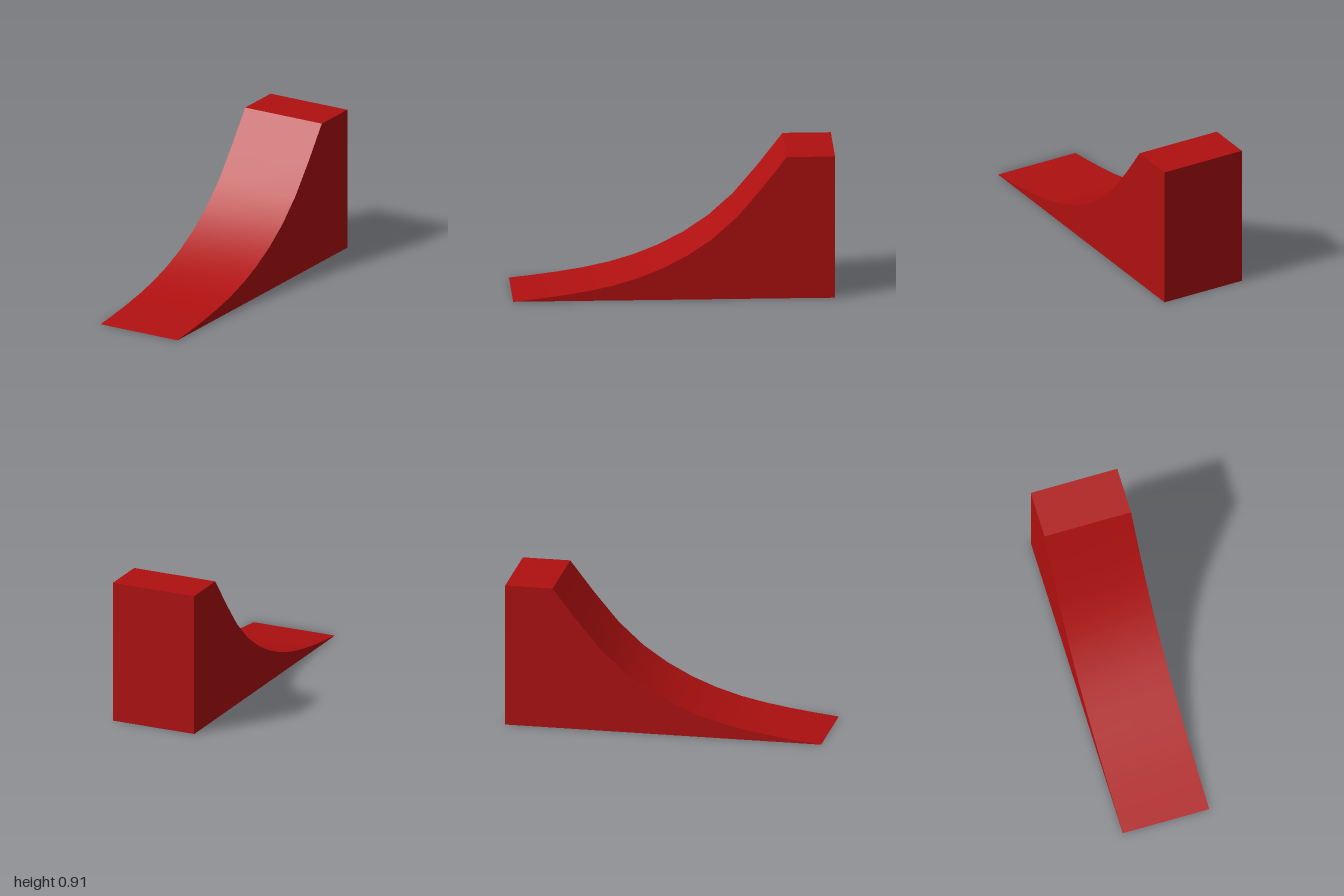
import * as THREE from 'three';
import { toCreasedNormals } from 'three/addons/utils/BufferGeometryUtils.js';

const WIDTH = 0.56;
const TOP_Z = -0.7; // front edge of the platform

// Heights of the curved slope at even steps from the toe to the platform
const HEIGHTS = [0, 0.017, 0.037, 0.062, 0.095, 0.141, 0.202, 0.283, 0.387, 0.527, 0.71, 0.91];

export function createModel() {
  const group = new THREE.Group();
  group.name = 'ramp';

  // Side profile: shape x becomes z after turning
  const profile = new THREE.Shape();
  profile.moveTo(-1, 0);
  HEIGHTS.forEach((y, i) => {
    profile.lineTo(THREE.MathUtils.lerp(1, TOP_Z, i / (HEIGHTS.length - 1)), y);
  });
  profile.lineTo(-1, HEIGHTS[HEIGHTS.length - 1]);
  profile.closePath();

  // Solid wedge: smooth along the slope, sharp at the other edges
  const solid = new THREE.ExtrudeGeometry(profile, { depth: WIDTH, bevelEnabled: false });
  solid.translate(0, 0, -WIDTH / 2);
  solid.rotateY(-Math.PI / 2);

  const body = new THREE.Mesh(
    toCreasedNormals(solid, Math.PI / 6),
    new THREE.MeshStandardMaterial({ color: 0xb01010 })
  );
  body.name = 'curvedRampBody';
  group.add(body);

  return group;
}
